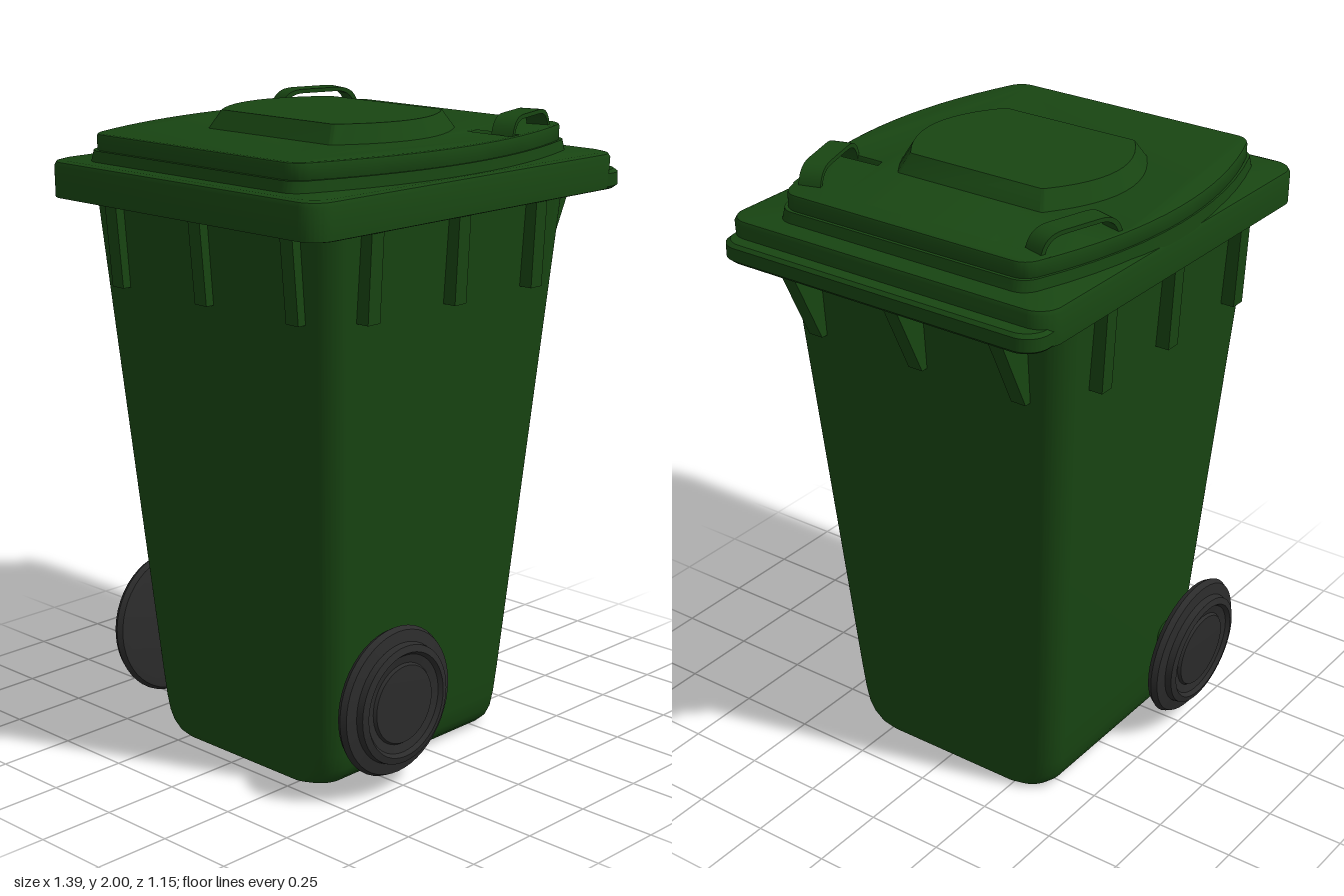
import * as THREE from 'three';
import { toCreasedNormals } from 'three/addons/utils/BufferGeometryUtils.js';

const green = new THREE.MeshStandardMaterial({ color: 0x184512 });
const black = new THREE.MeshStandardMaterial({ color: 0x2b2b2b });

function part(name, geometry, material = green) {
  const mesh = new THREE.Mesh(toCreasedNormals(geometry, 0.6), material);
  mesh.name = name;
  return mesh;
}

// Rounded rectangle in plan, from x0 to x1 and -h to h
function roundedRect(x0, x1, h, r) {
  const s = new THREE.Shape();
  s.absarc(x1 - r, -h + r, r, -Math.PI / 2, 0);
  s.absarc(x1 - r, h - r, r, 0, Math.PI / 2);
  s.absarc(x0 + r, h - r, r, Math.PI / 2, Math.PI);
  s.absarc(x0 + r, -h + r, r, Math.PI, Math.PI * 1.5);
  return s;
}

// Plan with straight ends and two sides that bulge from depth h to depth peak
function bulged(x0, x1, h, peak, r) {
  const s = new THREE.Shape();
  const mid = (x0 + x1) / 2, c = 2 * peak - h;
  s.moveTo(x0 + r, -h);
  s.quadraticCurveTo(mid, -c, x1 - r, -h);
  s.quadraticCurveTo(x1, -h + r / 2, x1, -h + r * 1.5);
  s.lineTo(x1, h - r * 1.5);
  s.quadraticCurveTo(x1, h - r / 2, x1 - r, h);
  s.quadraticCurveTo(mid, c, x0 + r, h);
  s.quadraticCurveTo(x0, h - r / 2, x0, h - r * 1.5);
  s.lineTo(x0, -h + r * 1.5);
  s.quadraticCurveTo(x0, -h + r / 2, x0 + r, -h);
  return s;
}

// Closed solid through plan outlines stacked as [height, shape]
function loft(sections) {
  const pos = [], index = [];
  const rings = sections.map(([y, shape]) => {
    const pts = shape.getPoints(12);
    if (pts[0].distanceTo(pts[pts.length - 1]) < 1e-6) pts.pop();
    pts.forEach(p => pos.push(p.x, y, -p.y));
    return pts;
  });
  const n = rings[0].length, last = (rings.length - 1) * n;
  for (let k = 0; k < last; k += n) {
    for (let i = 0; i < n; i++) {
      const j = (i + 1) % n;
      index.push(k + i, k + j, k + n + j, k + i, k + n + j, k + n + i);
    }
  }
  // End caps
  const base = pos.length / 3;
  for (const k of [0, rings.length - 1]) {
    const c = rings[k].reduce((a, p) => a.add(p), new THREE.Vector2()).divideScalar(n);
    pos.push(c.x, sections[k][0], -c.y);
  }
  for (let i = 0; i < n; i++) {
    const j = (i + 1) % n;
    index.push(base, j, i, base + 1, last + i, last + j);
  }
  const g = new THREE.BufferGeometry();
  g.setAttribute('position', new THREE.Float32BufferAttribute(pos, 3));
  g.setIndex(index);
  return g;
}

// Upright rib from an outward/height profile, turned to face one side
function rib(name, profile, angle, x, z) {
  const shape = new THREE.Shape(profile.map(p => new THREE.Vector2(...p)));
  const g = new THREE.ExtrudeGeometry(shape, { depth: 0.05, bevelEnabled: false });
  g.translate(0, 0, -0.025);
  const mesh = part(name, g);
  mesh.rotation.y = angle;
  mesh.position.set(x, 0, z);
  return mesh;
}

export function createModel() {
  const model = new THREE.Group();
  model.name = 'wheeledBin';

  // Tapered body, rounded along the two lower side edges
  const bodyAt = (y, h) => [y, roundedRect(-0.45 - 0.08 * y, 0.34 + 0.083 * y, h, 0.08)];
  model.add(part('body', loft([
    bodyAt(0, 0.31), bodyAt(0.008, 0.345), bodyAt(0.03, 0.37), bodyAt(0.06, 0.385),
    bodyAt(0.11, 0.394), bodyAt(0.2, 0.402), bodyAt(1.76, 0.515),
  ])));

  // Flange around the mouth, with the lip at the opening side
  model.add(part('flange', loft([
    [1.745, roundedRect(-0.68, 0.68, 0.558, 0.07)],
    [1.755, roundedRect(-0.69, 0.69, 0.568, 0.07)],
    [1.795, roundedRect(-0.69, 0.69, 0.568, 0.07)],
    [1.805, roundedRect(-0.68, 0.68, 0.558, 0.07)],
  ])));

  // Supporting ribs under the flange
  const sideRib = [[0.44, 1.48], [0.54, 1.48], [0.555, 1.76], [0.44, 1.76]];
  const hingeRib = [[0.5, 1.48], [0.597, 1.48], [0.622, 1.76], [0.5, 1.76]];
  const lipGusset = [[0.42, 1.47], [0.485, 1.47], [0.625, 1.76], [0.42, 1.76]];
  for (const x of [-0.43, -0.06, 0.29]) {
    model.add(rib('sideRib', sideRib, -Math.PI / 2, x, 0));
    model.add(rib('sideRib', sideRib, Math.PI / 2, x, 0));
  }
  for (const z of [-0.37, 0, 0.38]) {
    model.add(rib('hingeRib', hingeRib, Math.PI, 0, z));
    model.add(rib('lipGusset', lipGusset, 0, 0, z));
  }

  // Lid: rim, domed step, top plate with hand pockets, raised panel
  const lid = new THREE.Group();
  lid.name = 'lid';
  model.add(lid);
  lid.add(part('lidRim', loft([
    [1.75, roundedRect(-0.7, 0.635, 0.573, 0.07)],
    [1.845, roundedRect(-0.7, 0.64, 0.575, 0.07)],
    [1.857, roundedRect(-0.695, 0.635, 0.57, 0.07)],
    [1.862, roundedRect(-0.68, 0.62, 0.555, 0.07)],
  ])));
  const step = part('lidStep', loft([
    [1.85, bulged(-0.64, 0.575, 0.455, 0.562, 0.04)],
    [1.895, bulged(-0.63, 0.565, 0.45, 0.557, 0.04)],
  ]));
  const plate = bulged(-0.62, 0.555, 0.445, 0.552, 0.04);
  for (const s of [-1, 1]) {
    plate.holes.push(new THREE.Path([
      [0.2, 0.355], [0.475, 0.285], [0.475, 0.45], [0.2, 0.515],
    ].map(([x, z]) => new THREE.Vector2(x, s * z))));
  }
  const plateGeometry = new THREE.ExtrudeGeometry(plate, {
    depth: 0.04, curveSegments: 16, bevelThickness: 0.008, bevelSize: 0.008,
    bevelOffset: -0.008, bevelSegments: 2,
  });
  plateGeometry.rotateX(-Math.PI / 2).translate(0, 1.897, 0);
  const panel = part('raisedPanel', loft([
    [1.93, bulged(-0.315, 0.25, 0.272, 0.372, 0.01)],
    [2.0, bulged(-0.27, 0.205, 0.245, 0.333, 0.01)],
  ]));
  for (const mesh of [step, part('lidPlate', plateGeometry), panel]) {
    mesh.position.z = -0.013;
    lid.add(mesh);
  }

  // Arched strap handles over the pockets
  const arch = new THREE.Shape();
  arch.moveTo(-0.15, 1.89);
  arch.bezierCurveTo(-0.15, 1.985, -0.11, 2, -0.06, 2);
  arch.lineTo(0.06, 2);
  arch.bezierCurveTo(0.11, 2, 0.15, 1.985, 0.15, 1.89);
  arch.lineTo(0.136, 1.89);
  arch.bezierCurveTo(0.136, 1.97, 0.105, 1.987, 0.06, 1.987);
  arch.lineTo(-0.06, 1.987);
  arch.bezierCurveTo(-0.105, 1.987, -0.136, 1.97, -0.136, 1.89);
  for (const s of [-1, 1]) {
    const g = new THREE.ExtrudeGeometry(arch, { depth: 0.07, bevelEnabled: false });
    g.translate(0, 0, -0.035);
    const handle = part('lidHandle', g);
    handle.position.set(0.338, 0, s * 0.44 - 0.013);
    handle.rotation.y = s * 0.29;
    lid.add(handle);
  }

  // Axle and wheels, one wheel leaning slightly
  const axle = part('axle', new THREE.CylinderGeometry(0.045, 0.045, 0.98, 24));
  axle.rotation.x = Math.PI / 2;
  axle.position.set(-0.29, 0.3, 0);
  model.add(axle);
  const wheelProfile = [
    [0, 0], [0.2, 0], [0.225, 0.005], [0.235, 0.022], [0.226, 0.04], [0.19, 0.047],
    [0.186, 0.068], [0.165, 0.074], [0.155, 0.062], [0.128, 0.056], [0.122, 0.065], [0, 0.068],
  ].map(p => new THREE.Vector2(...p));
  for (const [s, lean, z] of [[1, 0, 0.475], [-1, -0.07, -0.487]]) {
    const wheel = part('wheel', new THREE.LatheGeometry(wheelProfile, 48), black);
    wheel.rotation.x = s * Math.PI / 2 + lean;
    wheel.position.set(-0.29, 0.29, z);
    model.add(wheel);
  }
  return model;
}
